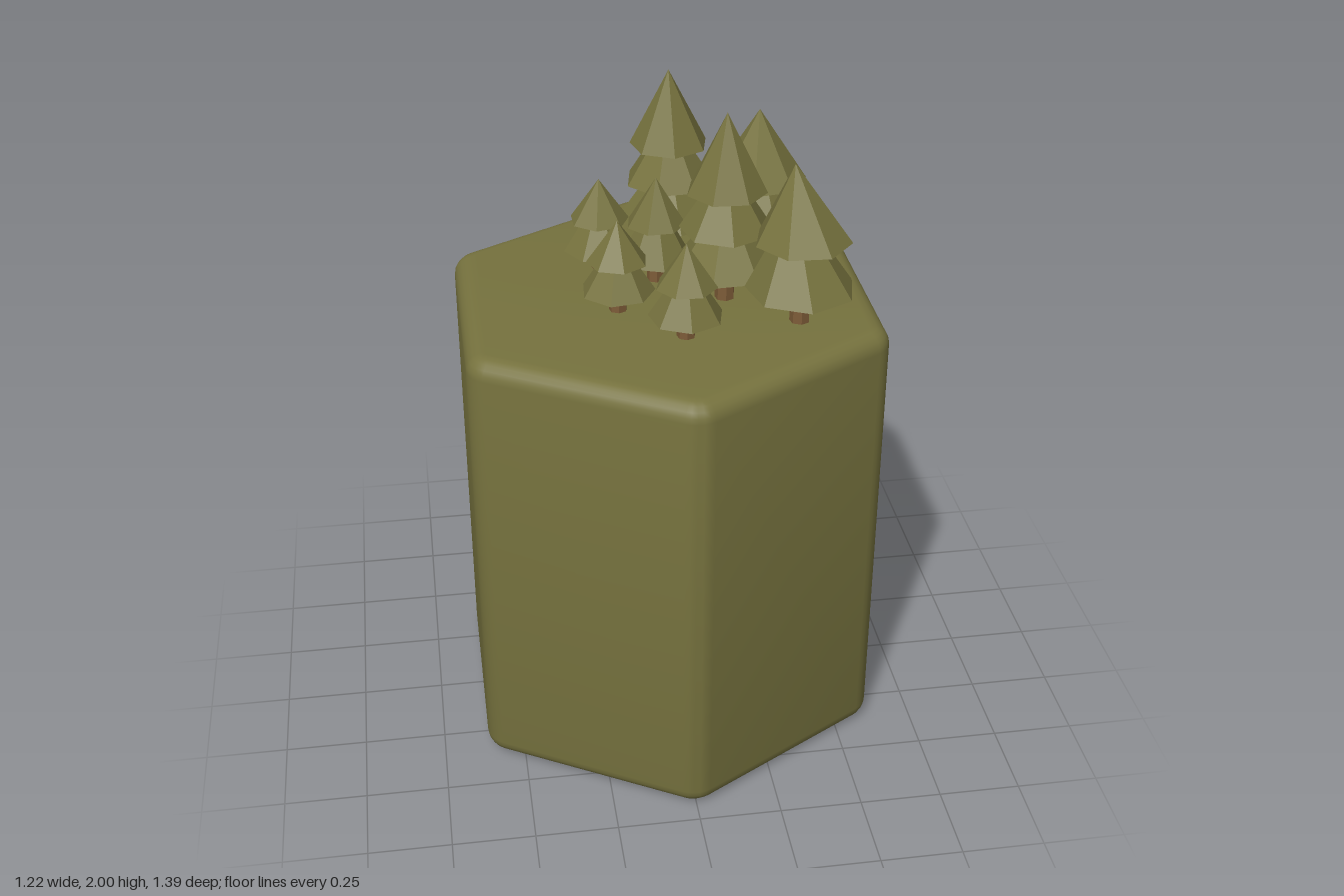
import * as THREE from 'three';
import { toCreasedNormals } from 'three/addons/utils/BufferGeometryUtils.js';

const BLOCK_TOP = 1.42;

// Rounded hexagonal block: inset hexagon grown outward by the bevel
function hexBlock(material) {
  const bevel = 0.055, cornerRadius = 0.035, apothem = 0.612 - bevel;
  const centreDist = (apothem - cornerRadius) / Math.cos(Math.PI / 6);
  const points = [];
  for (let i = 0; i < 6; i++) {
    const a = Math.PI / 2 + i * Math.PI / 3;
    for (let j = 0; j <= 5; j++) {
      const b = a + (j / 5 - 0.5) * Math.PI / 3;
      points.push(new THREE.Vector2(
        centreDist * Math.cos(a) + cornerRadius * Math.cos(b),
        centreDist * Math.sin(a) + cornerRadius * Math.sin(b)));
    }
  }
  const geometry = new THREE.ExtrudeGeometry(new THREE.Shape(points), {
    depth: BLOCK_TOP - 2 * bevel, bevelEnabled: true,
    bevelSize: bevel, bevelThickness: bevel, bevelSegments: 5,
  });
  geometry.rotateX(-Math.PI / 2).translate(0, bevel, 0);
  const mesh = new THREE.Mesh(toCreasedNormals(geometry, 0.6), material);
  mesh.name = 'hexBlock';
  return mesh;
}

// Tiers are [bottom, apex, radius], in world height before scaling
const KINDS = {
  tall: { trunk: 0.03, tiers: [[1.523, 1.75, 0.157], [1.645, 1.86, 0.137], [1.762, 2.0, 0.12]] },
  medium: { trunk: 0.03, tiers: [[1.523, 1.79, 0.162], [1.675, 1.9, 0.142]] },
  small: { trunk: 0.027, tiers: [[1.484, 1.66, 0.11], [1.58, 1.71, 0.09]] },
};

// kind, x, z, turn, apex lean in x and z, height stretch
const TREES = [
  ['tall', 0.058, -0.302, 0.1, -0.003, 0.007, 1],
  ['tall', 0.17, 0.066, 0.5, 0, 0, 1],
  ['medium', 0.32, -0.2, 0.2, -0.005, 0.005, 1],
  ['medium', 0.36, 0.243, 0, -0.024, -0.023, 1],
  ['small', -0.172, -0.185, 0.3, 0, 0, 1],
  ['small', -0.015, -0.08, 0.1, 0, 0.007, 1.15],
  ['small', -0.152, 0.1, 0.6, 0, 0, 0.98],
  ['small', 0.02, 0.29, 0, 0, 0, 1],
];

function tree([kind, x, z, turn, leanX, leanZ, stretch], foliage, bark) {
  const { trunk, tiers } = KINDS[kind];
  const group = new THREE.Group();
  group.name = kind + 'Tree';
  group.position.set(x, BLOCK_TOP, z);
  group.scale.y = stretch;

  const trunkHeight = tiers[0][0] - BLOCK_TOP + 0.05;
  const stem = new THREE.Mesh(new THREE.CylinderGeometry(trunk, trunk, trunkHeight, 7), bark);
  stem.name = 'trunk';
  stem.position.y = trunkHeight / 2 - 0.01;
  group.add(stem);

  tiers.forEach(([bottom, apex, radius], i) => {
    const height = apex - bottom;
    const cone = new THREE.ConeGeometry(radius, height, 7);
    cone.rotateY(turn + i * 0.4).translate(0, height / 2, 0);
    // Lean the tip of each tier
    const pos = cone.attributes.position;
    for (let v = 0; v < pos.count; v++) {
      const t = pos.getY(v) / height;
      pos.setX(v, pos.getX(v) + leanX * t);
      pos.setZ(v, pos.getZ(v) + leanZ * t);
    }
    const mesh = new THREE.Mesh(toCreasedNormals(cone, 0.05), foliage);
    mesh.name = 'foliageTier';
    mesh.position.y = bottom - BLOCK_TOP;
    group.add(mesh);
  });
  return group;
}

export function createModel() {
  const olive = new THREE.MeshStandardMaterial({ color: 0x76723e });
  olive.name = 'olive green';
  const bark = new THREE.MeshStandardMaterial({ color: 0x7d5c38 });
  bark.name = 'bark brown';
  bark.flatShading = true;

  const model = new THREE.Group();
  model.name = 'forestTile';
  model.add(hexBlock(olive));
  for (const spec of TREES) model.add(tree(spec, olive, bark));
  return model;
}
